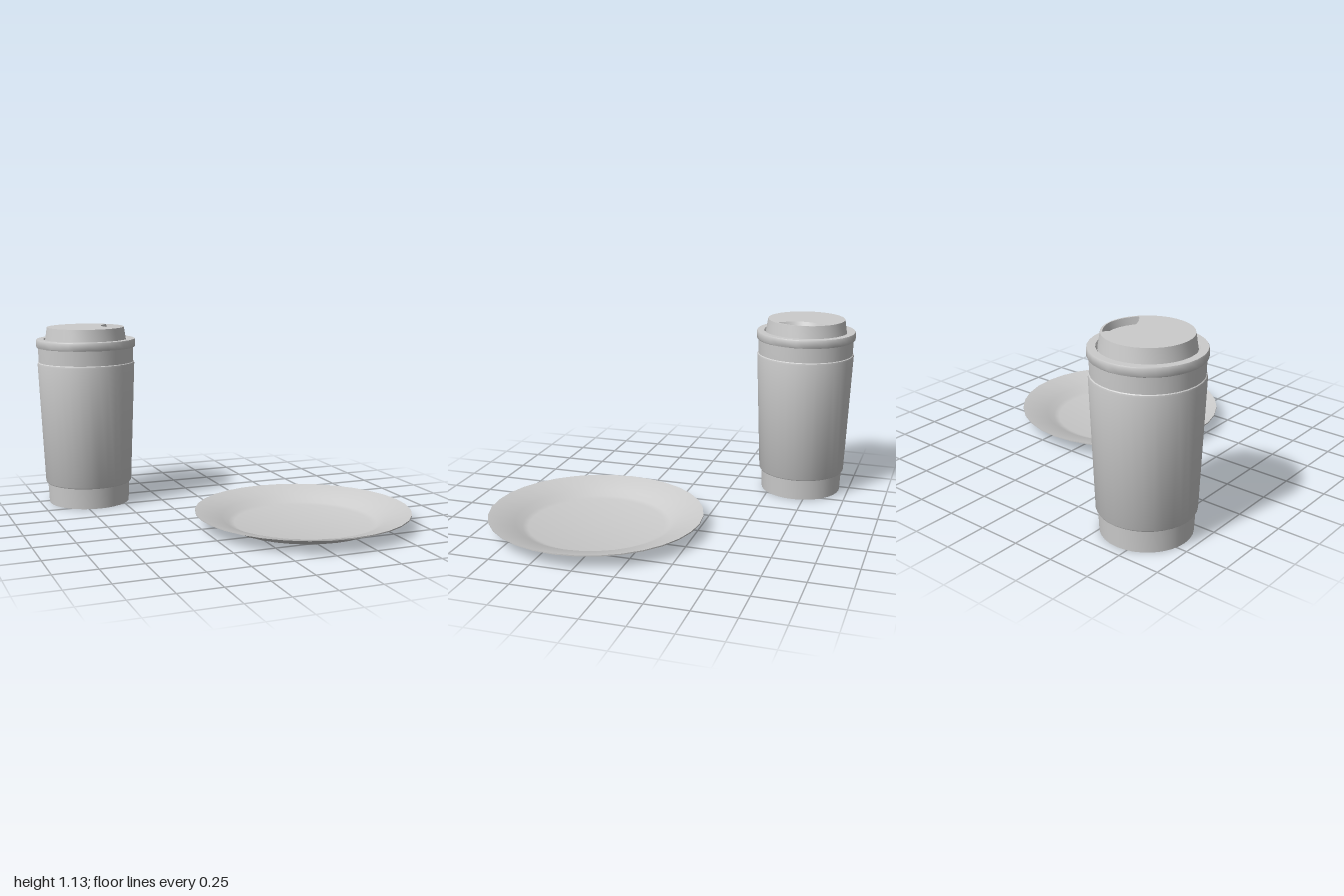
import * as THREE from 'three';
import { toCreasedNormals } from 'three/addons/utils/BufferGeometryUtils.js';

const SIDES = 32;
const material = new THREE.MeshStandardMaterial({ color: 0xcccccc });
const doubleSided = new THREE.MeshStandardMaterial({ color: 0xcccccc, side: THREE.DoubleSide });

function addMesh(parent, name, geometry, mat = material) {
  const mesh = new THREE.Mesh(geometry, mat);
  mesh.name = name;
  parent.add(mesh);
  return mesh;
}

// Profile of [radius, height] pairs turned around the y axis
function turned(profile, crease = 0.55) {
  const points = profile.map(([r, y]) => new THREE.Vector2(r, y));
  return toCreasedNormals(new THREE.LatheGeometry(points, SIDES), crease);
}

// Lens outline between two bulging arcs
function lens(left, right, tipX, halfLength, steps = 10) {
  const points = [];
  for (const [edge, dir] of [[right, 1], [left, -1]]) {
    for (let i = 0; i < steps; i++) {
      const t = dir * (-1 + (2 * i) / steps);
      points.push(new THREE.Vector2(tipX + (edge - tipX) * (1 - t * t), halfLength * t));
    }
  }
  return points;
}

// Sloped wall joining two outlines at different heights
function wallBetween(upper, yUpper, lower, yLower) {
  const positions = [], index = [], n = upper.length;
  for (let i = 0; i < n; i++) {
    positions.push(upper[i].x, yUpper, -upper[i].y, lower[i].x, yLower, -lower[i].y);
    const a = 2 * i, b = 2 * ((i + 1) % n);
    index.push(a, b, a + 1, b, b + 1, a + 1);
  }
  const geometry = new THREE.BufferGeometry();
  geometry.setAttribute('position', new THREE.Float32BufferAttribute(positions, 3));
  geometry.setIndex(index);
  geometry.computeVertexNormals();
  return toCreasedNormals(geometry, 0.6);
}

function flat(shape, y) {
  return new THREE.ShapeGeometry(shape).rotateX(-Math.PI / 2).translate(0, y, 0);
}

function createCup() {
  const cup = new THREE.Group();
  cup.name = 'cup';

  // Tapered body with a slightly hollow underside
  addMesh(cup, 'cupBody', turned([
    [0, 0.02], [0.13, 0.015], [0.245, 0.003], [0.256, 0], [0.263, 0.14], [0.3, 0.92], [0.302, 1.01],
  ]));

  // Sleeve with small rounded edges
  addMesh(cup, 'sleeve', turned([
    [0.262, 0.132], [0.27, 0.132], [0.275, 0.14], [0.307, 0.895], [0.305, 0.906], [0.3, 0.91],
  ]));

  // Lid: rim, groove and raised crown
  const lid = new THREE.Group();
  lid.name = 'lid';
  cup.add(lid);
  const topY = 1.13, topR = 0.243;
  addMesh(lid, 'lidRim', turned([
    [0.298, 1.003], [0.309, 1.003], [0.313, 1.01], [0.313, 1.048], [0.31, 1.055],
    [0.267, 1.055], [0.257, 1.04], [topR, topY],
  ]));

  // Crown top with the lens-shaped sip recess
  const opening = lens(0.107, 0.235, 0.176, 0.15);
  const floor = lens(0.122, 0.225, 0.176, 0.138);
  const top = new THREE.Shape();
  for (let i = 0; i < SIDES; i++) {
    const a = (i / SIDES) * Math.PI * 2;
    const x = topR * Math.cos(a), y = topR * Math.sin(a);
    if (i) top.lineTo(x, y); else top.moveTo(x, y);
  }
  top.holes.push(new THREE.Path(opening));
  addMesh(lid, 'lidTop', flat(top, topY));
  addMesh(lid, 'sipRecessWall', wallBetween(opening, topY, floor, topY - 0.04), doubleSided);
  addMesh(lid, 'sipRecessFloor', flat(new THREE.Shape(floor), topY - 0.04));

  cup.position.set(-0.687, 0, -0.687);
  return cup;
}

export function createModel() {
  const model = new THREE.Group();
  model.name = 'cupAndPlate';
  model.add(createCup());

  // Shallow plate: underside, rim edge, then the inner dish
  const plate = addMesh(model, 'plate', turned([
    [0, 0], [0.43, 0], [0.452, 0.007], [0.49, 0.036], [0.645, 0.083],
    [0.645, 0.09], [0.487, 0.046], [0.445, 0.018], [0.41, 0.01], [0, 0.01],
  ], 0.75));
  plate.position.set(0.355, 0, 0.355);
  return model;
}
